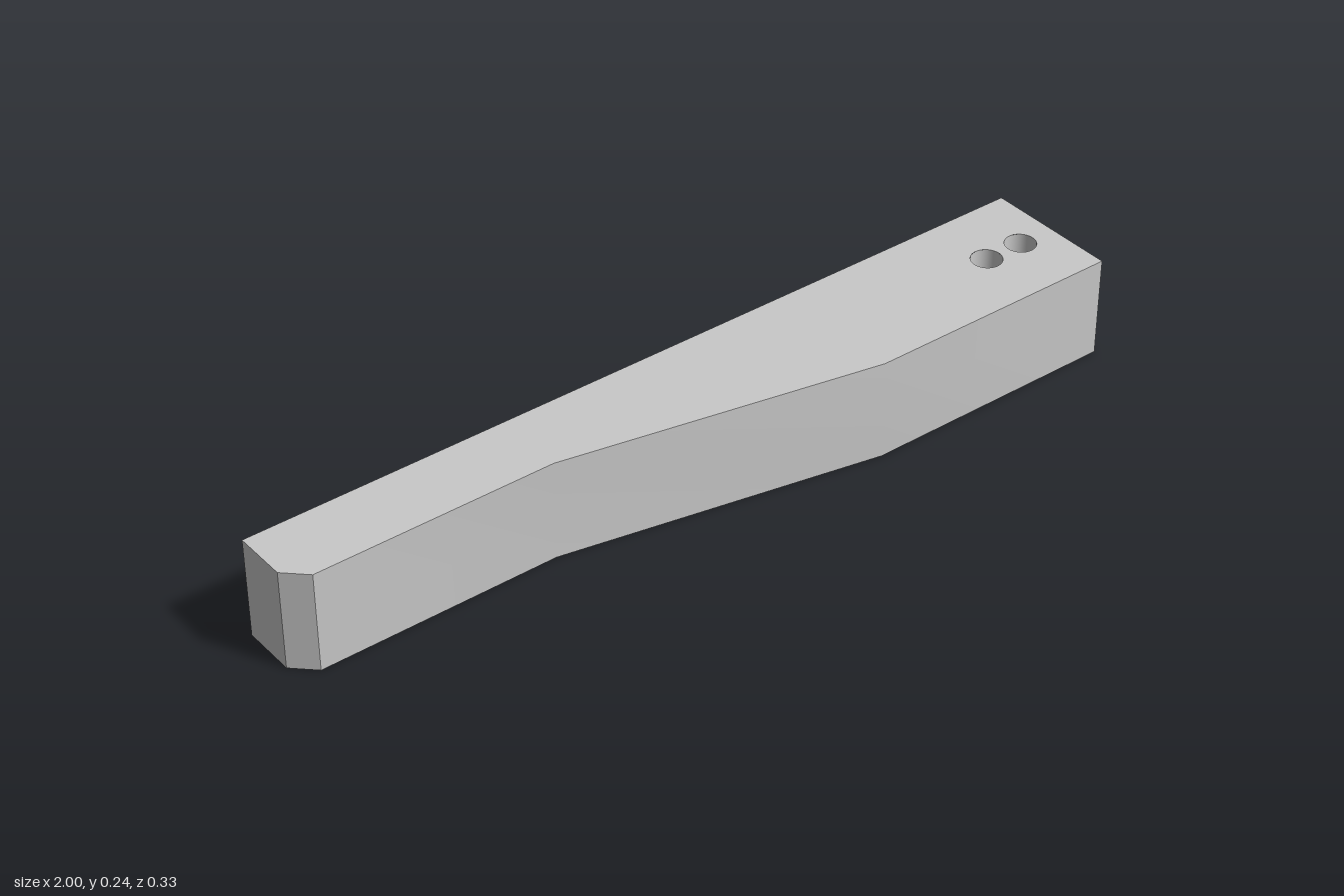
import * as THREE from 'three';
import { toCreasedNormals } from 'three/addons/utils/BufferGeometryUtils.js';

const HEIGHT = 0.242;
const HOLE_RADIUS = 0.036;
const HOLE_DEPTH = 0.15;
const HOLE_XS = [0.808, 0.908];

// Plan outline as [x, z]: straight back, tapered front, clipped corner
const OUTLINE = [
  [-1, -0.035], [-0.95, 0.013], [-0.375, 0.013],
  [0.375, 0.163], [1, 0.163], [1, -0.163], [-1, -0.163],
];

// Shapes are drawn with y = -z, then laid flat
const makeShape = () => new THREE.Shape(OUTLINE.map(([x, z]) => new THREE.Vector2(x, -z)));

// Walls and underside: an extrusion with its upper lid left out, shallow bends smoothed
function shellGeometry() {
  const solid = new THREE.ExtrudeGeometry(makeShape(), { depth: HEIGHT, bevelEnabled: false });
  const lids = solid.groups[0].count;
  const source = Array.from(solid.attributes.position.array);
  const kept = source.slice(0, lids / 2 * 3).concat(source.slice(lids * 3));
  const shell = new THREE.BufferGeometry();
  shell.setAttribute('position', new THREE.Float32BufferAttribute(kept, 3));
  return toCreasedNormals(shell.rotateX(-Math.PI / 2), Math.PI / 6);
}

// Upper face pierced by the two round holes
function topGeometry() {
  const shape = makeShape();
  for (const x of HOLE_XS) {
    shape.holes.push(new THREE.Path().absarc(x, 0, HOLE_RADIUS, 0, Math.PI * 2, true));
  }
  return new THREE.ShapeGeometry(shape, 32).rotateX(-Math.PI / 2).translate(0, HEIGHT, 0);
}

export function createModel() {
  const model = new THREE.Group();
  model.name = 'taperedArm';
  const grey = new THREE.MeshStandardMaterial({ color: 0xc9c9c9 });
  grey.name = 'lightGrey';

  const add = (name, geometry, parent = model) => {
    const mesh = new THREE.Mesh(geometry, grey);
    mesh.name = name;
    parent.add(mesh);
    return mesh;
  };

  add('bodyShell', shellGeometry());
  add('topFace', topGeometry());

  // Blind holes: the profile runs downward so the wall faces inward
  const floorY = HEIGHT - HOLE_DEPTH;
  HOLE_XS.forEach((x, i) => {
    const hole = new THREE.Group();
    hole.name = `blindHole${i + 1}`;
    hole.position.x = x;
    const profile = [new THREE.Vector2(HOLE_RADIUS, HEIGHT), new THREE.Vector2(HOLE_RADIUS, floorY)];
    add('holeWall', new THREE.LatheGeometry(profile, 32), hole);
    add('holeFloor', new THREE.CircleGeometry(HOLE_RADIUS, 32).rotateX(-Math.PI / 2), hole).position.y = floorY;
    model.add(hole);
  });

  return model;
}
